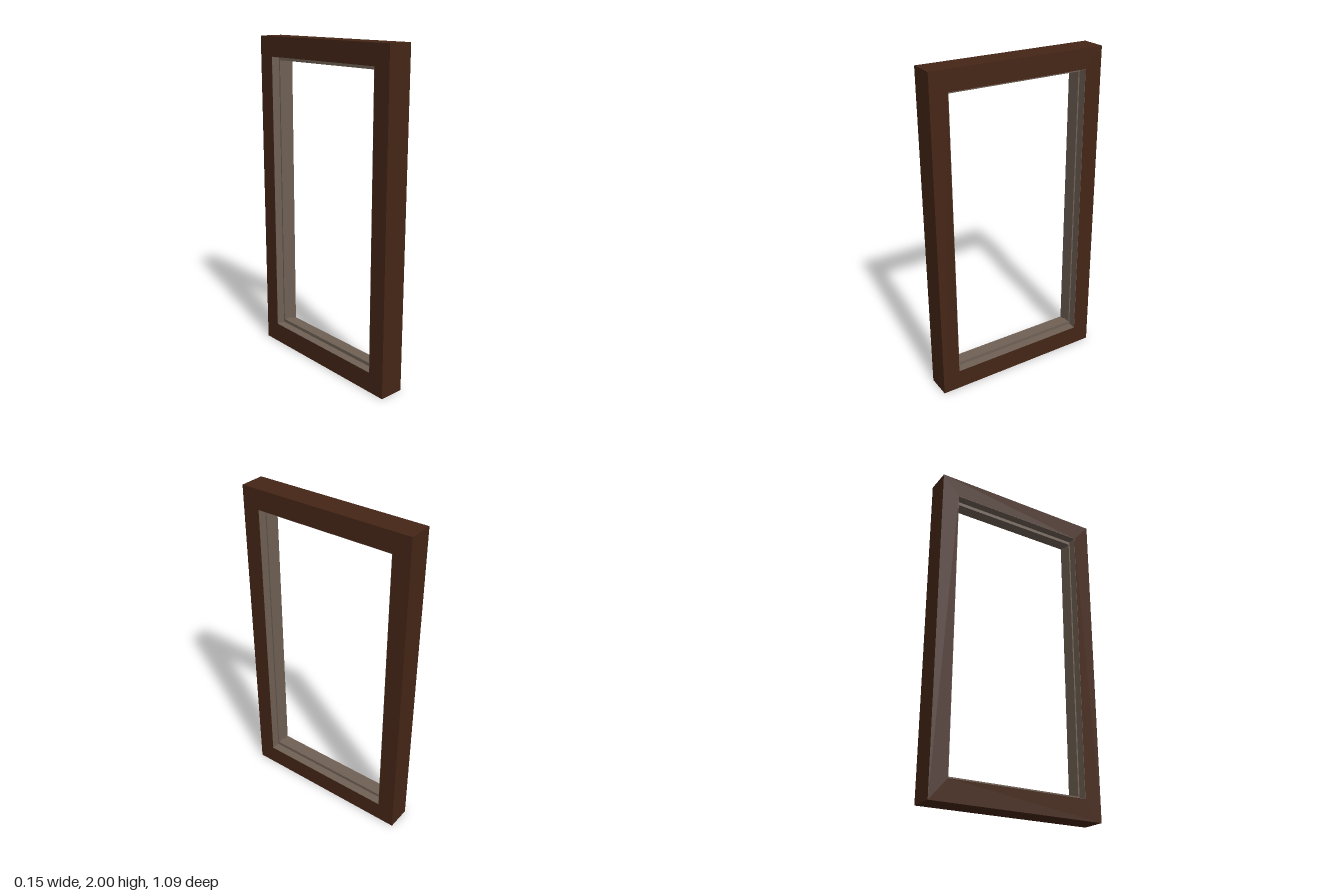
import * as THREE from 'three';

const DEPTH = 0.154, HALF_Z = 0.547;

// Rectangular ring facing x: outer and inner are [halfWidth, bottom, top]
function ring(name, outer, inner, depth, material) {
  const trace = (path, [w, b, t]) =>
    path.moveTo(-w, b).lineTo(w, b).lineTo(w, t).lineTo(-w, t).closePath();
  const shape = new THREE.Shape();
  trace(shape, outer);
  const hole = new THREE.Path();
  trace(hole, inner);
  shape.holes.push(hole);
  const geometry = new THREE.ExtrudeGeometry(shape, { depth, bevelEnabled: false });
  geometry.translate(0, 0, -depth / 2);
  geometry.rotateY(Math.PI / 2);
  const mesh = new THREE.Mesh(geometry, material);
  mesh.name = name;
  return mesh;
}

export function createModel() {
  const wood = new THREE.MeshStandardMaterial({ color: 0x452616 });
  const trim = new THREE.MeshStandardMaterial({ color: 0x706155 });
  const group = new THREE.Group();
  group.name = 'windowFrame';

  const rebate = [0.439, 0.124, 1.88];  // cut in the wooden frame
  const opening = [0.437, 0.126, 1.878]; // lined opening
  const sight = [0.428, 0.147, 1.857];  // inside the central bead

  group.add(
    ring('frame', [HALF_Z, 0, 2], rebate, DEPTH, wood),
    // thin lining on the inner faces, full depth
    ring('lining', rebate, opening, DEPTH, trim),
    // raised bead along the middle third
    ring('bead', opening, sight, 0.05, trim),
  );
  return group;
}
